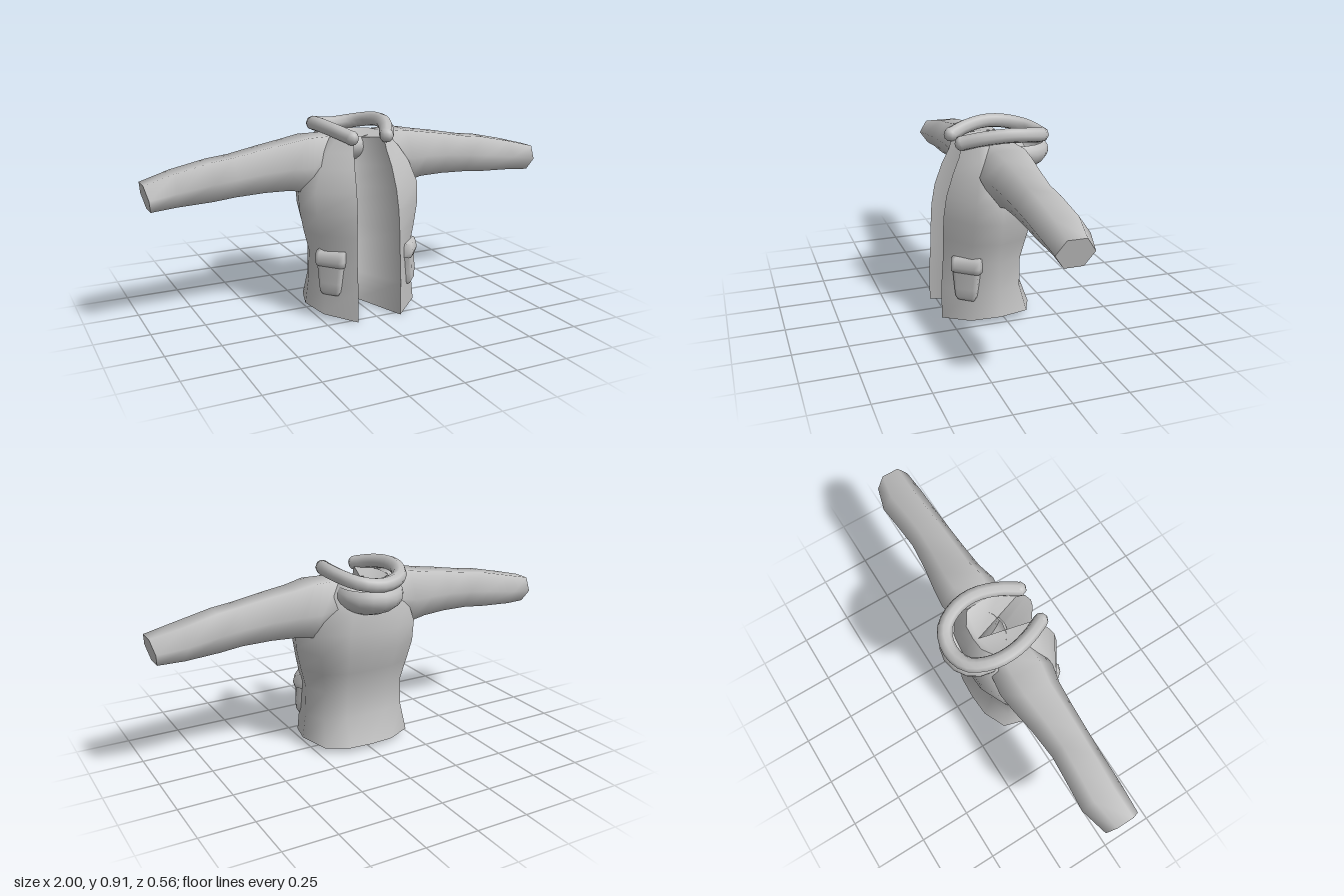
import * as THREE from 'three';

// One fabric colour; double sided because the shells are open
const cloth = new THREE.MeshStandardMaterial({ color: 0xc0c0c0, side: THREE.DoubleSide });
cloth.name = 'grey cloth';

function mesh(name, geometry) {
  const m = new THREE.Mesh(geometry, cloth);
  m.name = name;
  return m;
}

// Smooth skin through rings of [x, y, z] points
function loft(rings, closed) {
  const n = rings[0].length, index = [];
  for (let r = 0; r < rings.length - 1; r++) {
    for (let i = 0; i < (closed ? n : n - 1); i++) {
      const a = r * n + i, b = r * n + (i + 1) % n;
      index.push(a, b, b + n, a, b + n, a + n);
    }
  }
  const g = new THREE.BufferGeometry();
  g.setAttribute('position', new THREE.Float32BufferAttribute(rings.flat(2), 3));
  g.setIndex(index);
  g.computeVertexNormals();
  return g;
}

// Fan of triangles from a centre point across a ring
function fan(centre, ring, closed) {
  const g = new THREE.BufferGeometry(), index = [];
  for (let i = 0; i < (closed ? ring.length : ring.length - 1); i++) {
    index.push(0, i + 1, (i + 1) % ring.length + 1);
  }
  g.setAttribute('position', new THREE.Float32BufferAttribute([centre, ...ring].flat(), 3));
  g.setIndex(index);
  g.computeVertexNormals();
  return g;
}

// Coat body: height, opening half width, front z, half width, back z
const LEVELS = [
  [0, 0.11, 0.28, 0.272, -0.16],
  [0.16, 0.11, 0.28, 0.255, -0.11],
  [0.3, 0.11, 0.27, 0.25, -0.115],
  [0.4, 0.108, 0.267, 0.275, -0.145],
  [0.5, 0.105, 0.262, 0.295, -0.178],
  [0.6, 0.1, 0.245, 0.3, -0.186],
  [0.7, 0.093, 0.21, 0.26, -0.178],
  [0.77, 0.083, 0.178, 0.21, -0.162],
  [0.83, 0.075, 0.16, 0.15, -0.13],
];

function bodyRing([y, xe, zf, xs, zb]) {
  const lift = Math.max(0, 1 - y / 0.16); // the hem rises at the sides
  const half = [
    [xe, y, zf],
    [xs * 0.87, y + 0.025 * lift, zf * 0.62],
    [xs, y + 0.04 * lift, 0.04],
    [xs * 0.83, y + 0.032 * lift, zb * 0.65],
    [xs * 0.42, y + 0.026 * lift, zb * 0.96],
  ];
  const mirrored = half.map(([x, py, z]) => [-x, py, z]).reverse();
  return [...half, [0, y + 0.025 * lift, zb], ...mirrored];
}

function makeBody() {
  const g = new THREE.Group();
  g.name = 'body';
  const rings = LEVELS.map(bodyRing);
  const top = rings.length - 1;
  // Deepest line of the front opening, leaning back toward the neck
  const spine = LEVELS.map(([y]) => [0, y === 0 ? 0.015 : y - 0.04 * (y / 0.83), 0.04 - 0.17 * y]);
  const lining = rings.map((r, i) => [r[r.length - 1], spine[i], r[0]]);
  g.add(mesh('outerShell', loft(rings, false)));
  g.add(mesh('frontLining', loft(lining, false)));
  g.add(mesh('hemUnderside', fan(spine[0], rings[0], false)));
  g.add(mesh('neckFloor', fan(spine[top], rings[top], false)));
  return g;
}

// Sleeve: x, top y, bottom y, front z, back z, cuff slant
const SLEEVE = [
  [0.13, 0.832, 0.62, 0.11, -0.13, 0],
  [0.25, 0.832, 0.58, 0.13, -0.145, 0],
  [0.34, 0.815, 0.597, 0.108, -0.135, 0],
  [0.46, 0.797, 0.6, 0.1, -0.115, 0],
  [0.6, 0.772, 0.595, 0.095, -0.1, 0],
  [0.7, 0.76, 0.585, 0.093, -0.105, 0],
  [0.86, 0.725, 0.578, 0.092, -0.115, 0],
  [0.9875, 0.69, 0.57, 0.088, -0.078, 0.0125],
];

function makeSleeve(side) {
  const g = new THREE.Group();
  g.name = side > 0 ? 'leftSleeve' : 'rightSleeve';
  const rings = SLEEVE.map(([x, yt, yb, zf, zb, slant]) =>
    Array.from({ length: 6 }, (_, i) => {
      const a = side * i * Math.PI / 3, s = Math.sin(a) / Math.sin(Math.PI / 3);
      return [side * (x + slant * s), (yt + yb) / 2 + s * (yt - yb) / 2,
        (zf + zb) / 2 + Math.cos(a) * (zf - zb) / 2];
    }));
  const end = rings[rings.length - 1];
  g.add(mesh('sleeve', loft(rings, true)));
  g.add(mesh('cuffEnd', fan([side * 0.9875, 0.63, 0.005], end, true)));
  return g;
}

// Rolled collar with domed ends
function makeCollar() {
  const g = new THREE.Group();
  g.name = 'collar';
  const half = [[0.088, 0.838, 0.165], [0.13, 0.86, 0.08], [0.158, 0.873, -0.03],
    [0.148, 0.866, -0.13], [0.095, 0.848, -0.215]];
  const path = [...half, [0, 0.836, -0.243], ...half.map(([x, y, z]) => [-x, y, z]).reverse()]
    .map((p) => new THREE.Vector3(...p));
  g.add(mesh('collarRoll', new THREE.TubeGeometry(new THREE.CatmullRomCurve3(path), 28, 0.034, 8)));
  for (const p of [path[0], path[path.length - 1]]) {
    const tip = mesh('collarTip', new THREE.SphereGeometry(0.034, 8, 6));
    tip.position.copy(p);
    g.add(tip);
  }
  // Gathered pouch hanging behind the neck
  const pouch = mesh('hoodPouch', new THREE.SphereGeometry(1, 16, 8, 0, Math.PI * 2, Math.PI * 0.34, Math.PI * 0.66));
  pouch.scale.set(0.16, 0.092, 0.16);
  pouch.position.set(0, 0.768, -0.12);
  g.add(pouch);
  return g;
}

// Pillow section of a pocket: height, half width, thickness
function pillow(name, sections) {
  const rings = sections.map(([y, w, d]) => [
    [-w, y, -0.03], [-w, y, d * 0.5], [-w * 0.7, y, d],
    [w * 0.7, y, d], [w, y, d * 0.5], [w, y, -0.03],
  ]);
  return mesh(name, loft(rings, false));
}

function makePocket(side) {
  const g = new THREE.Group();
  g.name = side > 0 ? 'leftPocket' : 'rightPocket';
  g.add(pillow('pocketBag', [[0.12, 0.035, -0.03], [0.122, 0.04, 0.008], [0.14, 0.05, 0.018],
    [0.18, 0.055, 0.018], [0.26, 0.063, 0.014]]));
  g.add(pillow('pocketFlap', [[0.258, 0.066, -0.03], [0.26, 0.07, 0.018], [0.285, 0.07, 0.026],
    [0.325, 0.07, 0.016], [0.332, 0.066, -0.03]]));
  g.position.set(side * 0.207, 0, 0.188);
  g.rotation.y = side * 0.88;
  return g;
}

export function createModel() {
  const coat = new THREE.Group();
  coat.name = 'jacket';
  coat.add(makeBody(), makeCollar());
  for (const side of [1, -1]) coat.add(makeSleeve(side), makePocket(side));
  return coat;
}
